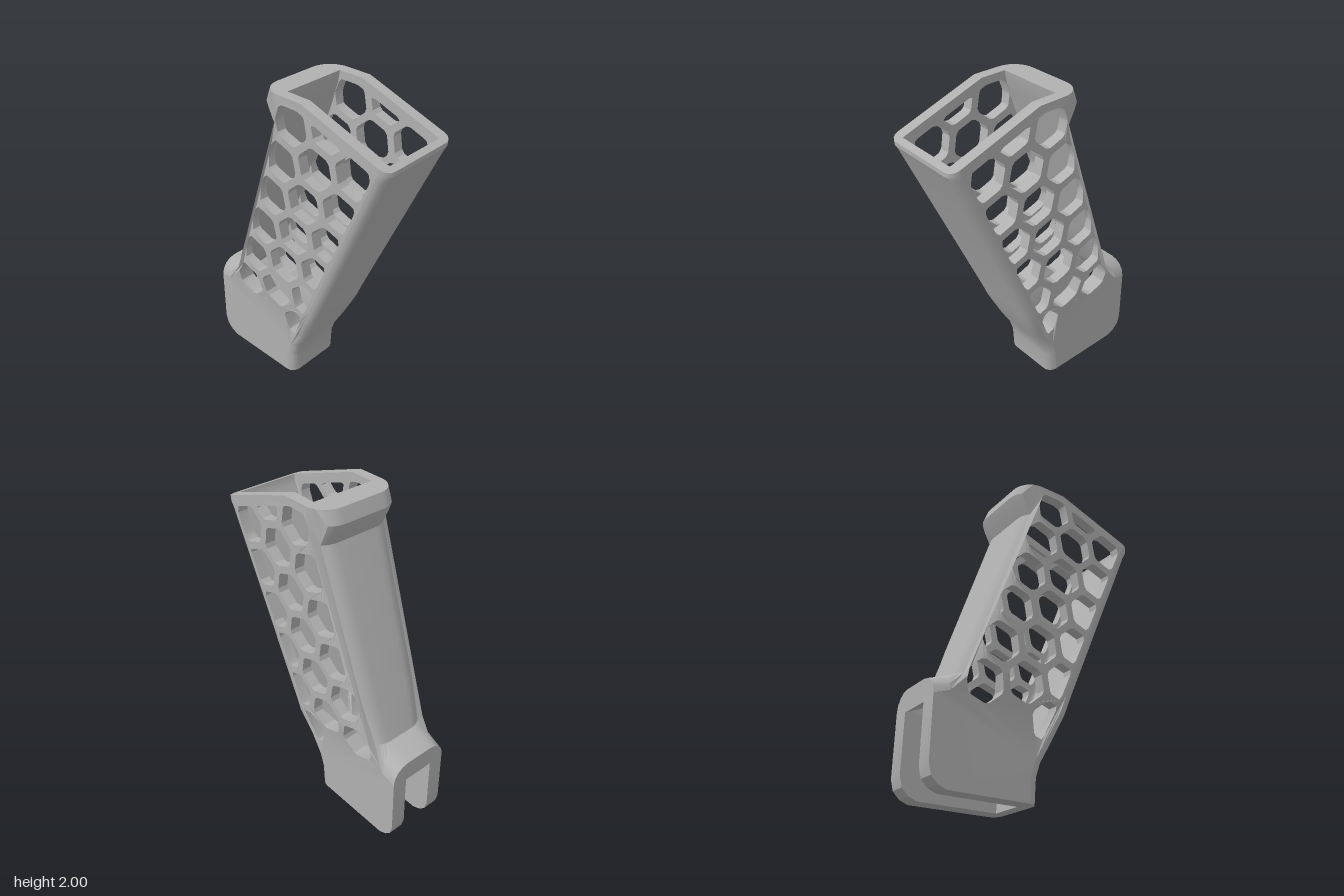
import * as THREE from 'three';
import { toCreasedNormals } from 'three/addons/utils/BufferGeometryUtils.js';

const lerp = THREE.MathUtils.lerp;
const clamp = THREE.MathUtils.clamp;

// Edge rows of the hollow shell: z, y, inward direction (dz, dy),
// corner radius r, depth d0 where the side panel takes over, wall thickness t
const row = (z, y, dz, dy, r, d0, t) => ({ z, y, dz, dy, r, d0, t });
const frontRows = [ // bottom to top
  row(-0.03, 0, -1, 0, 0.06, 0.06, 0.07),
  row(-0.02, 0.15, -1, 0, 0.06, 0.06, 0.07),
  row(0.01, 0.24, -1, 0, 0.06, 0.06, 0.06),
  row(0.085, 0.37, -1, 0, 0.06, 0.06, 0.05),
  row(0.165, 0.54, -1, 0, 0.06, 0.06, 0.045),
  row(0.205, 0.64, -1, 0, 0.06, 0.06, 0.045),
  row(0.68, 1.755, -1, 0, 0.06, 0.06, 0.045),
  row(0.697, 1.785, -1, 0, 0.06, 0.06, 0.045),
  row(0.697, 1.81, -0.87, 0.305, 0.06, 0.06, 0.045),
];
const backRows = [ // top to bottom, then over the tail
  row(-0.16, 2, 1, 0, 0.13, 0.035, 0.14),
  row(-0.19, 1.92, 1, 0, 0.13, 0.035, 0.155),
  row(-0.175, 1.88, 1, 0, 0.13, 0.035, 0.125),
  row(-0.13, 1.79, 1, 0, 0.13, 0.035, 0.055),
  row(-0.445, 0.9, 1, 0, 0.13, 0.035, 0.055),
  row(-0.535, 0.645, 1, 0, 0.13, 0.035, 0.06),
  row(-0.6, 0.62, 0, -1, 0.11, 0.11, 0.12),
  row(-0.69, 0.59, 0, -1, 0.11, 0.11, 0.13),
];

// Half-widths of the shell: wide grip above, narrow tail below a slanted line
const gripAmount = (z, y) => clamp((y + 0.31 * (z - 0.05) - 0.36) / 0.22, 0, 1);
const outerWidth = (z, y) =>
  lerp(0.2, 0.232 + 0.033 * clamp((y - 0.6) / 1.2, 0, 1), gripAmount(z, y));
const innerWidth = (z, y) =>
  lerp(0.1, outerWidth(z, y) - 0.065, gripAmount(z, y));

// Back edge of the grip at a given height
function backZ(y) {
  for (let i = 0; i < 5; i++) {
    const a = backRows[i], b = backRows[i + 1];
    if (y >= b.y) return lerp(b.z, a.z, (y - b.y) / (a.y - b.y));
  }
  return -9;
}

// Outer half-width with the rounded back corner taken off
function panelWidth(z, y) {
  const r = 0.13, d = Math.max(0, z - backZ(y));
  const cut = d < r ? r - Math.sqrt(r * r - (r - d) ** 2) : 0;
  return outerWidth(z, y) - cut;
}

// Closed wall with rounded corners, lofted through the rows
function wallGeometry(rows) {
  const steps = 4, pos = [], idx = [];
  let n = 0;
  for (const p of rows) {
    const w = outerWidth(p.z, p.y), wi = innerWidth(p.z, p.y);
    const a0 = Math.asin(1 - p.d0 / p.r), half = [];
    for (let i = 0; i <= steps; i++) {
      const a = lerp(a0, Math.PI / 2, i / steps);
      half.push([w - p.r * (1 - Math.cos(a)), p.r * (1 - Math.sin(a))]);
    }
    const outer = [...half, ...half.slice().reverse().map(([x, d]) => [-x, d])];
    n = outer.length;
    const inner = outer.map(([x], i) => [
      x / outer[0][0] * wi,
      i === 0 || i === n - 1 ? Math.max(p.t, p.d0) : p.t,
    ]).reverse();
    for (const [x, d] of [...outer, ...inner]) pos.push(x, p.y + p.dy * d, p.z + p.dz * d);
  }
  const m = 2 * n, last = (rows.length - 1) * m;
  for (let r = 0; r < rows.length - 1; r++) {
    for (let i = 0; i < m; i++) {
      const a = r * m + i, b = r * m + (i + 1) % m;
      idx.push(a, a + m, b, b, a + m, b + m);
    }
  }
  for (let i = 0; i < n - 1; i++) {
    const o0 = i, o1 = i + 1, n0 = m - 1 - i, n1 = m - 2 - i;
    idx.push(o0, o1, n0, o1, n1, n0);
    idx.push(last + o0, last + n0, last + o1, last + o1, last + n0, last + n1);
  }
  const geo = new THREE.BufferGeometry();
  geo.setAttribute('position', new THREE.Float32BufferAttribute(pos, 3));
  geo.setIndex(idx);
  return toCreasedNormals(geo, 0.45);
}

// Keep the part of a polygon on the right-hand side of the line a -> b
function clip(poly, [ax, ay], [bx, by]) {
  const side = (p) => (p[1] - ay) * (bx - ax) - (p[0] - ax) * (by - ay);
  const out = [];
  poly.forEach((p, i) => {
    const q = poly[(i + 1) % poly.length], sp = side(p), sq = side(q);
    if (sp <= 0) out.push(p);
    if (sp * sq < 0) {
      const t = sp / (sp - sq);
      out.push([lerp(p[0], q[0], t), lerp(p[1], q[1], t)]);
    }
  });
  return out;
}

// Honeycomb openings in panel coordinates (u = -z, y)
function honeycomb() {
  const holes = [];
  for (let j = -1; j <= 5; j++) {
    for (let i = -1; i <= 1; i++) {
      if ((j === -1 && i === -1) || (j === 5 && i !== -1)) continue;
      const cu = -0.228 + 0.26 * i + 0.09 * j;
      const cy = 1.66 - 0.05 * i - 0.25 * j;
      let hex = [];
      for (let k = 0; k < 6; k++) {
        const a = (19 + 60 * k) * Math.PI / 180;
        hex.push([cu + 0.127 * Math.cos(a), cy + 0.127 * Math.sin(a)]);
      }
      hex = clip(hex, [-0.074, 0.54], [-0.62, 1.79]);  // front margin
      hex = clip(hex, [-0.694, 1.745], [-0.138, 1.941]); // sloping rim
      hex = clip(hex, [-0.2, 1.952], [0.2, 1.952]);    // flat rim
      hex = clip(hex, [0.08, 1.782], [0.487, 0.649]);  // back margin
      if (hex.length < 3) continue;
      // softened corners
      const soft = [];
      hex.forEach((p, k) => {
        const prev = hex[(k + hex.length - 1) % hex.length], next = hex[(k + 1) % hex.length];
        for (const q of [prev, next]) soft.push([lerp(p[0], q[0], 0.13), lerp(p[1], q[1], 0.13)]);
      });
      holes.push(soft);
    }
  }
  return holes;
}

// Side panel with honeycomb and tail cheek; side is +1 (left) or -1 (right)
function panelGeometry(side) {
  const edge = (p) => new THREE.Vector2(-(p.z + p.dz * p.d0), p.y + p.dy * p.d0);
  const v = (u, y) => new THREE.Vector2(u, y);
  const outline = [
    ...frontRows.map(edge),
    v(-0.14, 2), v(-0.03, 2), v(0.05, 2), v(0.09, 2),
    ...backRows.map(edge),
    v(0.695, 0.12), v(0.68, 0.06), v(0.64, 0.02), v(0.59, 0),
  ];
  const shape = new THREE.Shape(outline);
  for (const h of honeycomb()) {
    shape.holes.push(new THREE.Path(h.map(([u, y]) => v(u, y))));
  }
  const geo = new THREE.ExtrudeGeometry(shape, { depth: 1, bevelEnabled: false, steps: 1 });
  const pos = geo.attributes.position;
  for (let i = 0; i < pos.count; i++) {
    const z = -pos.getX(i), y = pos.getY(i), t = pos.getZ(i);
    const out = panelWidth(z, y), inn = Math.min(innerWidth(z, y), out - 0.02);
    const x = side > 0 ? lerp(inn, out, t) : -lerp(out, inn, t);
    pos.setXYZ(i, x, y, z);
  }
  return toCreasedNormals(geo, 0.4);
}

export function createModel() {
  const grey = new THREE.MeshStandardMaterial({ color: 0xb0b0b0 });
  grey.name = 'grey';
  const group = new THREE.Group();
  group.name = 'hollowGrip';
  const add = (name, geo) => {
    const mesh = new THREE.Mesh(geo, grey);
    mesh.name = name;
    group.add(mesh);
  };
  add('frontWall', wallGeometry(frontRows));
  add('backWallAndTailTop', wallGeometry(backRows));
  add('leftHoneycombPanel', panelGeometry(1));
  add('rightHoneycombPanel', panelGeometry(-1));
  return group;
}
